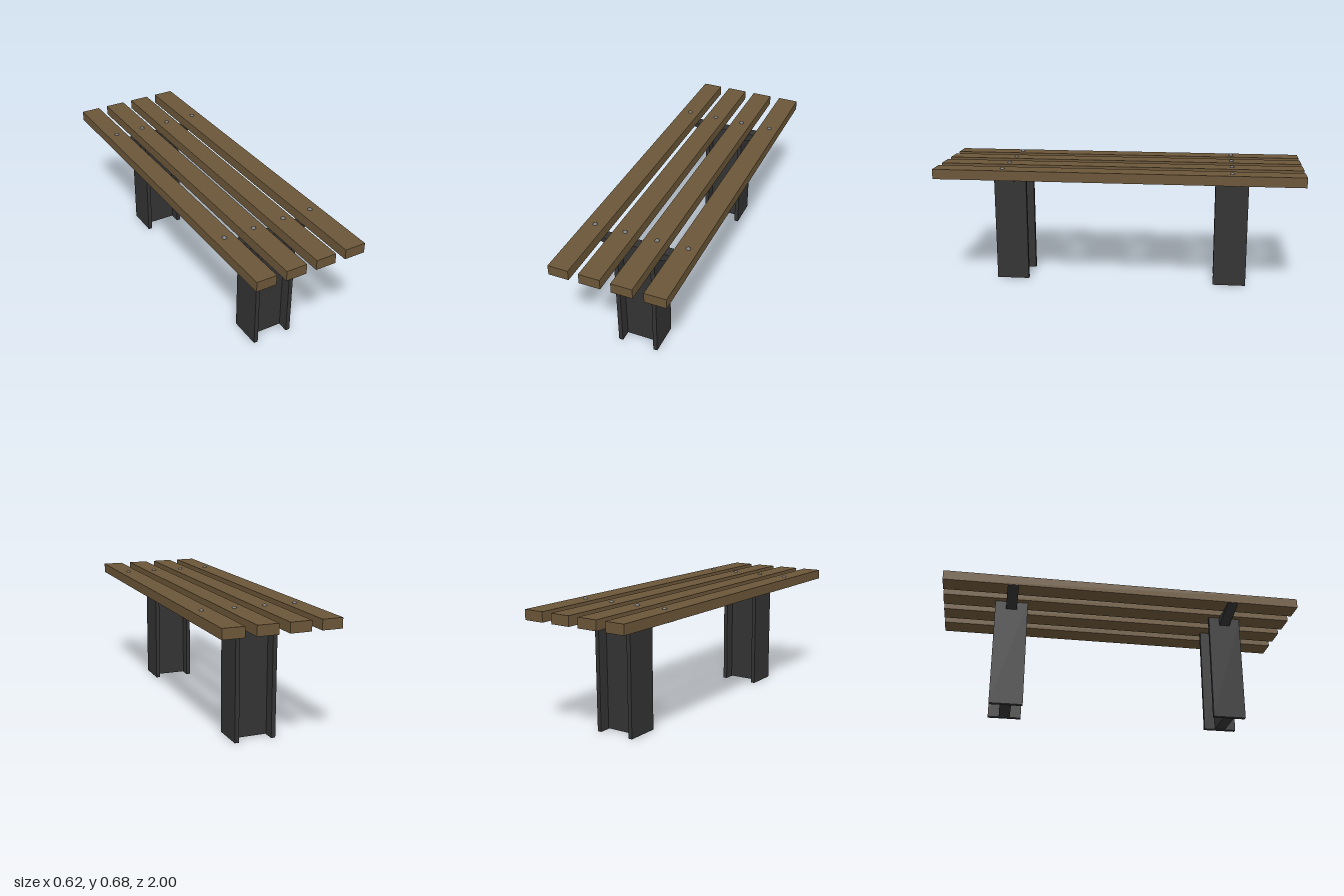
import * as THREE from 'three';

const wood = new THREE.MeshStandardMaterial({ color: 0x6b5638 });
const steel = new THREE.MeshStandardMaterial({ color: 0x333333 });
const boltMetal = new THREE.MeshStandardMaterial({ color: 0x777777 });

const SEAT_BOTTOM = 0.62, SEAT_TOP = 0.674, LEG_Z = 0.62;

// Box given by its lower and upper corners
function box(name, material, [x0, y0, z0], [x1, y1, z1]) {
  const mesh = new THREE.Mesh(new THREE.BoxGeometry(x1 - x0, y1 - y0, z1 - z0), material);
  mesh.position.set((x0 + x1) / 2, (y0 + y1) / 2, (z0 + z1) / 2);
  mesh.name = name;
  return mesh;
}

// Tapered arm reaching out under the planks
function bracket(side) {
  const shape = new THREE.Shape([
    new THREE.Vector2(side * 0.11, 0.572),
    new THREE.Vector2(side * 0.305, 0.618),
    new THREE.Vector2(side * 0.305, SEAT_BOTTOM),
    new THREE.Vector2(side * 0.11, SEAT_BOTTOM),
  ]);
  const geometry = new THREE.ExtrudeGeometry(shape, { depth: 0.06, bevelEnabled: false });
  geometry.translate(0, 0, -0.03);
  const mesh = new THREE.Mesh(geometry, steel);
  mesh.name = side > 0 ? 'leftBracket' : 'rightBracket';
  return mesh;
}

// I-beam leg: two flanges, a web and two brackets
function leg(name) {
  const group = new THREE.Group();
  group.name = name;
  group.add(
    box('leftFlange', steel, [0.09, 0, -0.091], [0.113, SEAT_BOTTOM, 0.091]),
    box('rightFlange', steel, [-0.113, 0, -0.091], [-0.09, SEAT_BOTTOM, 0.091]),
    box('web', steel, [-0.09, 0.003, -0.03], [0.09, SEAT_BOTTOM, 0.03]),
    bracket(1),
    bracket(-1),
  );
  return group;
}

export function createModel() {
  const model = new THREE.Group();
  model.name = 'bench';

  // Seat planks
  const planks = [[-0.309, -0.2], [-0.145, -0.032], [0.024, 0.136], [0.194, 0.309]];
  planks.forEach(([x0, x1], i) => {
    model.add(box(`plank${i + 1}`, wood, [x0, SEAT_BOTTOM, -1], [x1, SEAT_TOP, 1]));
  });

  // Legs, with a row of round bolt heads above each
  const boltGeometry = new THREE.SphereGeometry(0.013, 16, 12);
  for (const side of [1, -1]) {
    const end = side > 0 ? 'front' : 'back';
    const support = leg(`${end}Leg`);
    support.position.z = side * LEG_Z;
    model.add(support);

    const bolts = new THREE.Group();
    bolts.name = `${end}Bolts`;
    for (const x of [-0.254, -0.086, side > 0 ? 0.09 : 0.08, 0.256]) {
      const bolt = new THREE.Mesh(boltGeometry, boltMetal);
      bolt.name = 'bolt';
      bolt.position.set(x, 0.671, side > 0 ? 0.624 : -0.615);
      bolts.add(bolt);
    }
    model.add(bolts);
  }
  return model;
}
